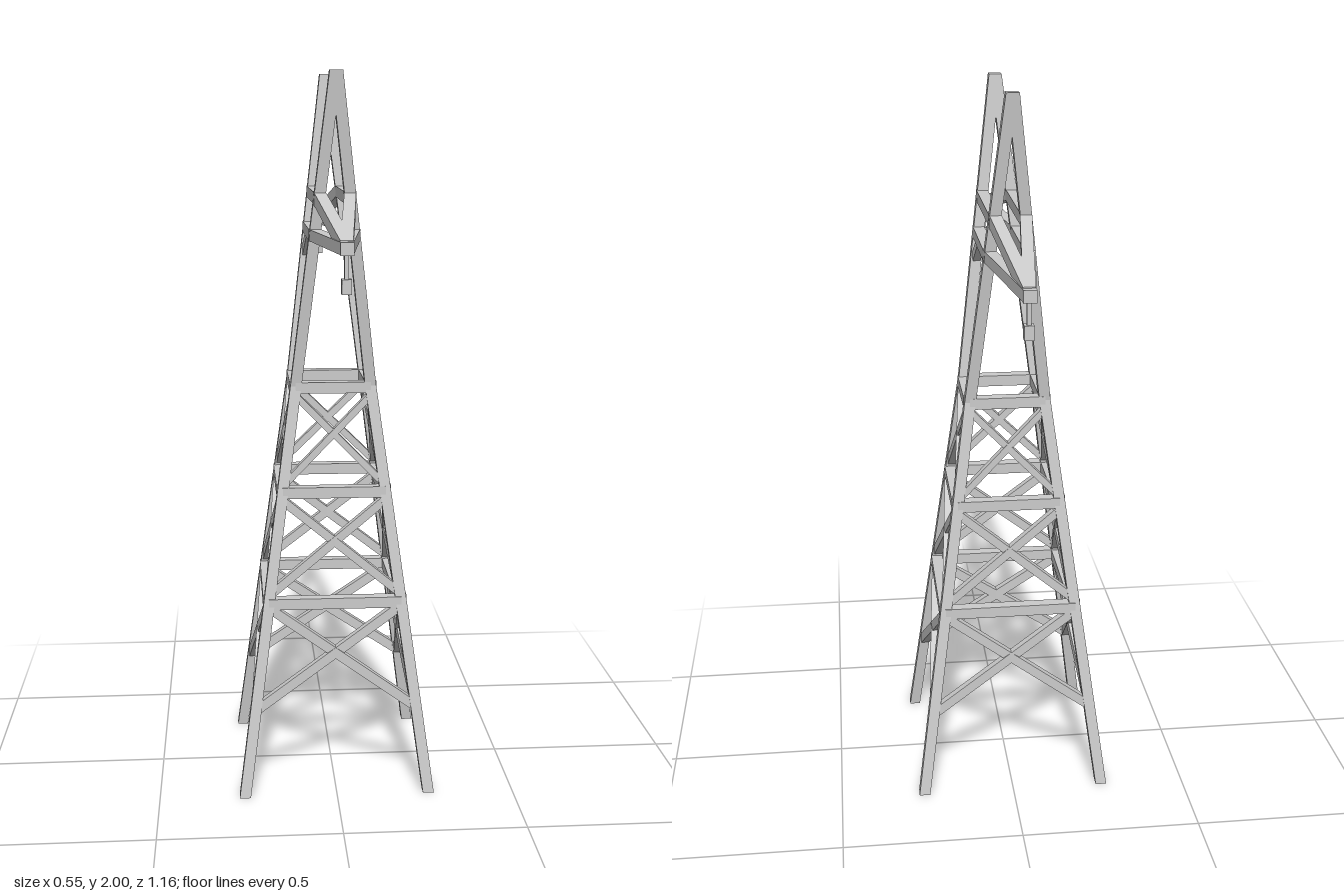
import * as THREE from 'three';

const WAIST = 1.15;
const lerp = THREE.MathUtils.lerp;

// Centreline of the leg in the +x +z corner at height y
function legAt(y) {
  if (y <= WAIST) {
    const t = y / WAIST;
    return [lerp(0.26, 0.104, t), y, lerp(0.26, 0.1, t)];
  }
  const t = (y - WAIST) / (2 - WAIST);
  return [lerp(0.104, 0.002, t), y, lerp(0.1, 0.206, t)];
}

export function createModel() {
  const model = new THREE.Group();
  const material = new THREE.MeshStandardMaterial({ color: 0xcccccc, flatShading: true });

  // Bar from a to b, its ends cut square to the given axis (0 x, 1 y, 2 z);
  // size holds the section along the other two axes
  function bar(parent, name, a, b, axis, size) {
    if (a[axis] > b[axis]) [a, b] = [b, a];
    const geometry = new THREE.BoxGeometry(1, 1, 1);
    const pos = geometry.attributes.position;
    for (let i = 0; i < pos.count; i++) {
      const p = [pos.getX(i), pos.getY(i), pos.getZ(i)];
      const t = p[axis] + 0.5;
      const q = p.map((v, k) => lerp(a[k], b[k], t) + (k === axis ? 0 : v * size[k]));
      pos.setXYZ(i, ...q);
    }
    geometry.computeVertexNormals();
    const mesh = new THREE.Mesh(geometry, material);
    mesh.name = name;
    parent.add(mesh);
  }

  function group(name) {
    const g = new THREE.Group();
    g.name = name;
    model.add(g);
    return g;
  }

  const corner = (y, sx, sz) => {
    const p = legAt(y);
    return [p[0] * sx, y, p[2] * sz];
  };

  // Four legs, bent at the waist and paired into two peaks
  const legs = group('legs');
  for (const sx of [-1, 1]) for (const sz of [-1, 1]) {
    const section = [0.031, 0, 0.031];
    bar(legs, 'lowerLeg', corner(0, sx, sz), corner(WAIST, sx, sz), 1, section);
    bar(legs, 'upperLeg', corner(WAIST, sx, sz), corner(2, sx, sz), 1, section);
  }

  // Horizontal rings around the tower
  const rings = group('rings');
  for (const y of [0.545, 0.855, 1.145]) for (const s of [-1, 1]) {
    const section = [0.033, 0.031, 0.033];
    bar(rings, 'ringBar', corner(y, -1, s), corner(y, 1, s), 0, section);
    bar(rings, 'ringBar', corner(y, s, -1), corner(y, s, 1), 2, section);
  }

  // Crossed braces in each panel of the four faces: bottom, top, thickness
  const braces = group('crossBraces');
  for (const [y0, y1, h] of [[0.245, 0.535, 0.033], [0.57, 0.835, 0.031], [0.875, 1.125, 0.027]]) {
    for (const s of [-1, 1]) for (const d of [-1, 1]) {
      const section = [0.024, h, 0.024];
      bar(braces, 'brace', corner(y0, -d, s), corner(y1, d, s), 0, section);
      bar(braces, 'brace', corner(y0, s, -d), corner(y1, s, d), 2, section);
    }
  }

  // Cross arm: chords between the legs, tapering to the two tips
  const arm = group('crossArm');
  const low = legAt(1.57), high = legAt(1.67);
  for (const sx of [-1, 1]) {
    const chord = [0.032, 0.031, 0];
    bar(arm, 'lowerChord', corner(1.57, sx, -1), corner(1.57, sx, 1), 2, chord);
    bar(arm, 'upperChord', corner(1.67, sx, -1), corner(1.67, sx, 1), 2, chord);
    for (const sz of [-1, 1]) {
      bar(arm, 'lowerArm', [low[0] * sx, 1.57, low[2] * sz], [0, 1.57, 0.57 * sz], 2, chord);
      bar(arm, 'upperArm', [high[0] * sx, 1.67, high[2] * sz], [0, 1.572, 0.56 * sz], 2, [0.032, 0.034, 0]);
      // Knee brace under the arm
      bar(arm, 'kneeBrace', corner(1.49, sx, sz), [low[0] * sx, 1.56, 0.075 * sz], 2, [0.022, 0.03, 0]);
    }
  }

  // Arm tips with hanging insulators
  for (const sz of [-1, 1]) {
    const z = 0.555 * sz;
    bar(arm, 'armTip', [0, 1.57, 0.535 * sz], [0, 1.57, 0.58 * sz], 2, [0.034, 0.032, 0]);
    bar(arm, 'insulatorRod', [0, 1.485, z], [0, 1.56, z], 1, [0.011, 0, 0.011]);
    bar(arm, 'insulator', [0, 1.458, z], [0, 1.495, z], 1, [0.025, 0, 0.025]);
  }

  return model;
}
